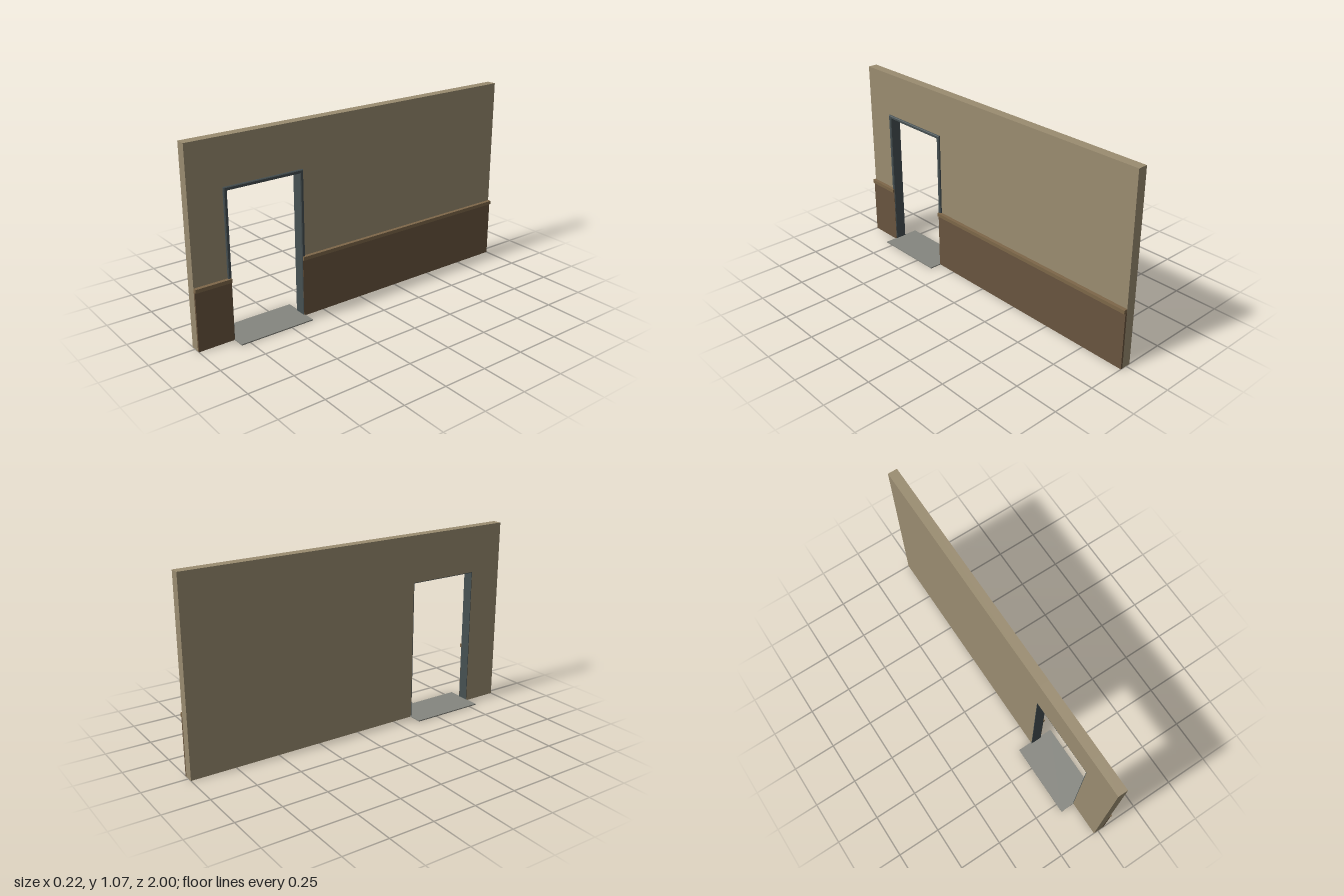
import * as THREE from 'three';

const material = (color) => new THREE.MeshStandardMaterial({ color });

export function createModel() {
  const model = new THREE.Group();
  const plaster = material(0x9a8c70);
  const panel = material(0x69553f);
  const railWood = material(0x7d6749);
  const slate = material(0x465052);
  const stone = material(0x85867f);

  // Box given by its [min, max] on each axis
  const addBox = (name, mat, [x0, x1], [y0, y1], [z0, z1]) => {
    const mesh = new THREE.Mesh(new THREE.BoxGeometry(x1 - x0, y1 - y0, z1 - z0), mat);
    mesh.position.set((x0 + x1) / 2, (y0 + y1) / 2, (z0 + z1) / 2);
    mesh.name = name;
    model.add(mesh);
  };

  const height = 1.065, half = 0.027;
  const doorTop = 0.8, doorBack = 0.375, doorFront = 0.798;
  const jamb = 0.003;

  // Wall sections beside the doorway, each with wainscot and chair rail
  const sections = { long: [-1, doorBack], short: [doorFront, 1] };
  for (const [name, span] of Object.entries(sections)) {
    addBox(name + 'Wall', plaster, [-half, half], [0, height], span);
    addBox(name + 'Wainscot', panel, [half, 0.0385], [0, 0.322], span);
    addBox(name + 'ChairRail', railWood, [half, 0.048], [0.322, 0.342], span);
  }
  addBox('wallOverDoor', plaster, [-half, half], [doorTop, height], [doorBack, doorFront]);

  // Thin lining inside the doorway
  const depth = [-half, half];
  addBox('backJamb', slate, depth, [0, doorTop], [doorBack, doorBack + jamb]);
  addBox('frontJamb', slate, depth, [0, doorTop], [doorFront - jamb, doorFront]);
  addBox('doorHead', slate, depth, [doorTop - jamb, doorTop], [doorBack, doorFront]);

  // Door casing: an upside-down U with bevelled edges, standing proud of the wall
  const inBack = doorBack + jamb, inFront = doorFront - jamb, inTop = doorTop - jamb;
  const trim = 0.019;
  const outline = [
    [inFront + trim, 0], [inFront + trim, inTop + trim],
    [inBack - trim, inTop + trim], [inBack - trim, 0],
    [inBack, 0], [inBack, inTop], [inFront, inTop], [inFront, 0],
  ].map(([z, y]) => new THREE.Vector2(-z, y));
  const casing = new THREE.Mesh(
    new THREE.ExtrudeGeometry(new THREE.Shape(outline), {
      depth: 0.014, bevelThickness: 0.004, bevelSize: 0.004, bevelOffset: -0.004, bevelSegments: 1,
    }),
    slate
  );
  casing.rotation.y = Math.PI / 2;
  casing.position.x = 0.02;
  casing.name = 'doorCasing';
  model.add(casing);

  // Floor plate across the doorway
  addBox('threshold', stone, [-0.11, 0.11], [0, 0.006], [0.37, 0.8]);

  return model;
}
